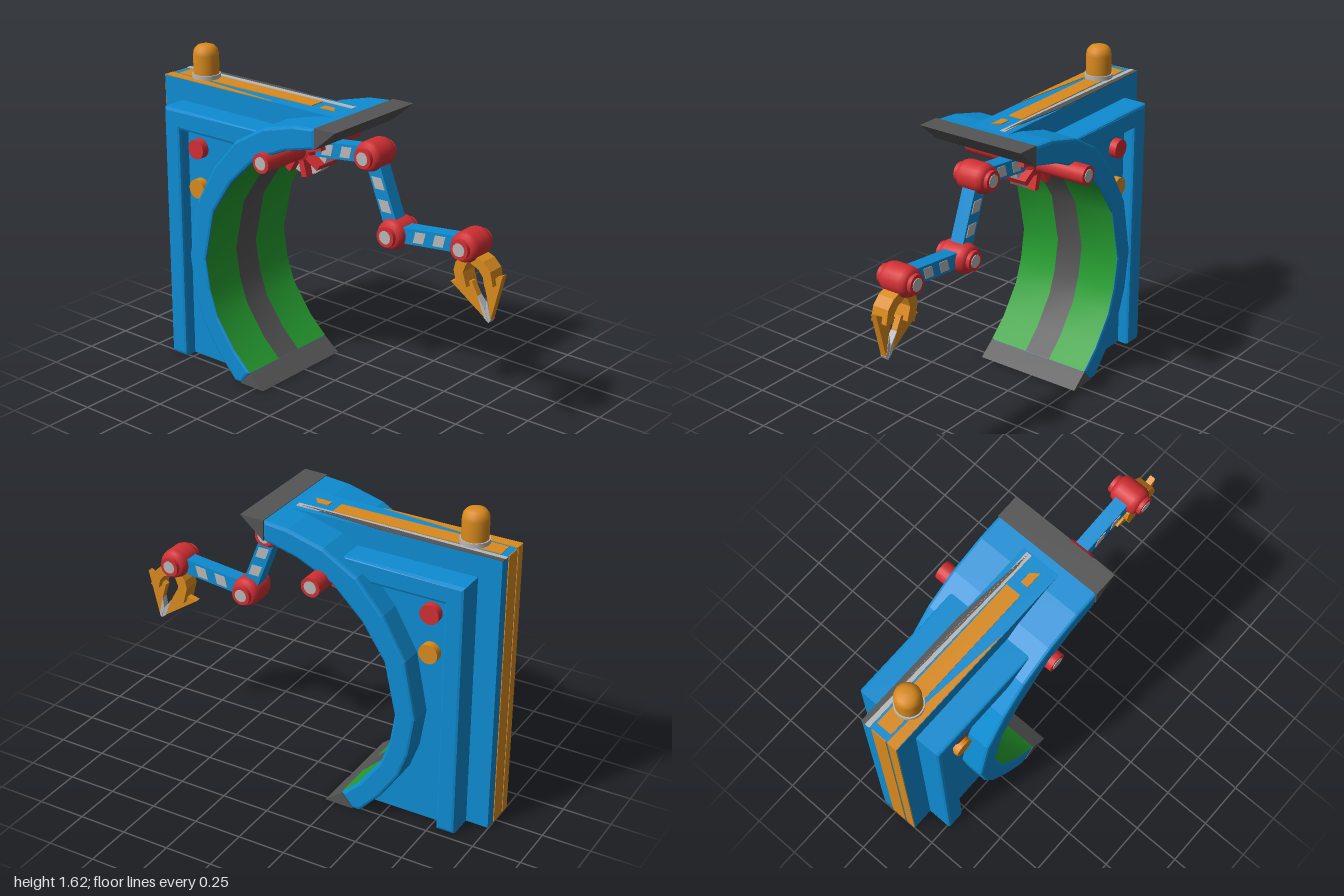
import * as THREE from 'three';

const mat = (name, color) => Object.assign(new THREE.MeshStandardMaterial({ color }), { name });

export function createModel() {
  const model = new THREE.Group();
  model.name = 'armStation';
  const blue = mat('blue', 0x0e8cd2), red = mat('red', 0xd22f33), orange = mat('orange', 0xd98a1e);
  const green = mat('green', 0x269f31), dark = mat('darkGrey', 0x555555), light = mat('lightGrey', 0xb8b8b8);
  const ZC = 0.027; // middle of the housing in depth

  const add = (name, geo, material, parent = model) => {
    const m = new THREE.Mesh(geo, material);
    m.name = name;
    parent.add(m);
    return m;
  };
  // side outline extruded from z0 to z1
  const prism = (pts, z0, z1, bevel = 0) => {
    const shape = new THREE.Shape(pts.map(p => new THREE.Vector2(p[0], p[1])));
    return new THREE.ExtrudeGeometry(shape, {
      depth: z1 - z0 - 2 * bevel, bevelEnabled: bevel > 0, bevelThickness: bevel,
      bevelSize: bevel, bevelOffset: -bevel, bevelSegments: 2,
    }).translate(0, 0, z0 + bevel);
  };
  const body = (name, pts, half, bevel, material = blue) =>
    add(name, prism(pts, ZC - half, ZC + half, bevel), material);
  const cylZ = (r, length, seg = 20) => new THREE.CylinderGeometry(r, r, length, seg).rotateX(Math.PI / 2);

  // Crescent arch, both edges listed from top to bottom
  const outer = [[0.14, 1.447], [0.01, 1.435], [-0.18, 1.385], [-0.36, 1.28], [-0.5, 1.12], [-0.62, 0.91],
    [-0.68, 0.61], [-0.65, 0.41], [-0.6, 0.27], [-0.5, 0.12], [-0.39, 0]];
  const inner = [[0.14, 1.345], [-0.04, 1.3], [-0.23, 1.215], [-0.39, 1.06], [-0.51, 0.88], [-0.57, 0.61],
    [-0.545, 0.45], [-0.5, 0.32], [-0.39, 0.165], [-0.29, 0.07]];
  body('arch', [...outer, [-0.35, 0], ...[...inner].reverse()], 0.297, 0.014);
  body('upperArchTip', [[0.14, 1.45], [0.14, 1.345], [0.265, 1.452]], 0.297, 0, dark);
  body('lowerArchTip', [[-0.35, 0], [-0.2, 0], [-0.29, 0.07]], 0.297, 0, dark);

  // Lining on the inside of the arch
  const lining = (name, z0, z1, material) => {
    const geo = new THREE.PlaneGeometry(1, 1, 1, inner.length - 1), pos = geo.attributes.position;
    inner.forEach(([x, y], i) => {
      const d = new THREE.Vector2(0.2 - x, 0.65 - y).setLength(0.004);
      pos.setXYZ(2 * i, x + d.x, y + d.y, z1);
      pos.setXYZ(2 * i + 1, x + d.x, y + d.y, z0);
    });
    geo.computeVertexNormals();
    add(name, geo, material);
  };
  lining('rearLining', ZC - 0.295, ZC - 0.075, green);
  lining('middleLining', ZC - 0.075, ZC + 0.075, dark);
  lining('frontLining', ZC + 0.075, ZC + 0.295, green);

  // Stepped housing behind the arch
  body('backSlab', [[-0.996, 0], ...[...outer].reverse().slice(0, -1), [0.1, 1.447], [-0.996, 1.45]], 0.105, 0);
  body('sidePanel', [[-0.8, 0], ...[...outer].reverse().slice(0, 8), [-0.42, 1.25], [-0.8, 1.25]], 0.175, 0);
  body('sideFrame', [[-0.88, 0], [-0.78, 0], [-0.78, 1.235], [-0.4, 1.235], [-0.34, 1.27], [-0.22, 1.34],
    [-0.88, 1.34]], 0.24, 0.015);

  // Stripes along the top and back edge of the slab
  const topStripe = (name, pts, material) => {
    const geo = prism(pts.map(([x, z]) => [x, -z]), 0, 0.004).rotateX(-Math.PI / 2).translate(0, 1.449, 0);
    add(name, geo, material);
  };
  topStripe('darkTopStripe', [[-1, -0.078], [-1, -0.055], [0.0, -0.035], [0.09, -0.04], [-0.35, -0.078]], dark);
  topStripe('lightTopStripe', [[-1, -0.056], [-1, -0.03], [0.09, -0.022], [0.09, -0.052], [-0.1, -0.05], [-0.6, -0.056]], light);
  topStripe('middleTopStripe', [[-0.96, -0.018], [-0.96, 0.066], [-0.09, 0.066], [-0.09, -0.018]], orange);
  topStripe('shortTopStripe', [[-0.04, 0.025], [-0.04, 0.065], [0.05, 0.065], [0.02, 0.025]], orange);
  topStripe('frontTopStripe', [[-1, 0.075], [-1, 0.13], [-0.28, 0.13], [-0.75, 0.085]], orange);
  for (const [z, w] of [[0.025, 0.085], [0.105, 0.05]])
    add('backStripe', new THREE.BoxGeometry(0.004, 1.45, w).translate(-0.998, 0.725, z), orange);

  // Round buttons on both sides
  for (const [y, m] of [[1.145, red], [0.937, orange]])
    for (const s of [-1, 1])
      add('button', cylZ(0.05, 0.05).translate(-0.695, y, ZC + s * 0.19), m);

  // Beacon
  add('beaconBase', new THREE.CylinderGeometry(0.072, 0.072, 0.025, 24).translate(-0.805, 1.462, 0.033), light);
  const dome = [[0.065, 0], [0.065, 0.1], [0.06, 0.125], [0.045, 0.143], [0.025, 0.15], [0, 0.151]];
  add('beacon', new THREE.LatheGeometry(dome.map(p => new THREE.Vector2(...p)), 24).translate(-0.805, 1.472, 0.033), orange);

  // Arm joints
  const joints = [[-0.165, 1.22], [0.245, 1.265], [0.385, 0.905], [0.81, 0.95]];
  const barrel = [[0.03, -0.082], [0.052, -0.08], [0.068, -0.068], [0.075, -0.045], [0.075, 0.045],
    [0.068, 0.068], [0.052, 0.08], [0.03, 0.082]].map(p => new THREE.Vector2(...p));
  joints.forEach(([x, y], i) => {
    const joint = new THREE.Group();
    joint.name = 'joint';
    joint.position.set(x, y, 0);
    model.add(joint);
    const length = i ? 0.2 : 0.71; // the first joint sits on a long axle
    add('jointBarrel', new THREE.LatheGeometry(barrel, 24).rotateX(Math.PI / 2), red, joint);
    add('jointAxle', cylZ(0.05, length), red, joint);
    add('jointCap', cylZ(0.033, length + 0.006, 12), light, joint);
  });

  // Spoked wheel on the axle
  const wheel = new THREE.Group();
  wheel.name = 'wheel';
  wheel.position.set(...joints[0], 0);
  model.add(wheel);
  add('wheelDisc', cylZ(0.14, 0.06, 24), light, wheel);
  for (let i = 0; i < 8; i++)
    add('wheelSpoke', new THREE.BoxGeometry(0.09, 0.032, 0.15).translate(0.096, 0, 0).rotateZ((i + 0.3) * Math.PI / 4), red, wheel);

  // Arm links with slanted stripes
  for (let i = 0; i < 3; i++) {
    const [a, b] = [joints[i], joints[i + 1]];
    const length = Math.hypot(b[0] - a[0], b[1] - a[1]);
    const link = new THREE.Group();
    link.name = 'armLink';
    link.position.set((a[0] + b[0]) / 2, (a[1] + b[1]) / 2, 0);
    link.rotation.z = Math.atan2(b[1] - a[1], b[0] - a[0]);
    model.add(link);
    add('linkBeam', new THREE.BoxGeometry(length, 0.08, 0.074), blue, link);
    for (const c of [-0.057, 0.057])
      add('linkStripe', prism([[c - 0.04, -0.027], [c + 0.02, -0.027], [c + 0.04, 0.027], [c - 0.02, 0.027]], -0.04, 0.04), light, link);
  }

  // Claw: two curved fingers with barbed heads and pale blades
  add('leftFinger', prism([[0.79, 0.91], [0.755, 0.86], [0.745, 0.82], [0.77, 0.73], [0.82, 0.75], [0.798, 0.82],
    [0.815, 0.865], [0.84, 0.89]], -0.045, 0.045), orange);
  add('rightFinger', prism([[0.86, 0.92], [0.91, 0.9], [0.95, 0.86], [0.967, 0.79], [0.92, 0.78], [0.91, 0.825],
    [0.885, 0.855], [0.84, 0.875]], -0.045, 0.045), orange);
  add('leftHead', prism([[0.71, 0.745], [0.83, 0.775], [0.87, 0.7], [0.915, 0.605]], -0.016, 0.016), orange);
  add('rightHead', prism([[1, 0.845], [0.895, 0.79], [0.925, 0.69], [0.94, 0.605]], -0.016, 0.016), orange);
  add('leftBlade', prism([[0.865, 0.71], [0.905, 0.61], [0.93, 0.592], [0.905, 0.66]], -0.018, 0.018), light);
  add('rightBlade', prism([[0.918, 0.71], [0.91, 0.65], [0.932, 0.592], [0.942, 0.61]], -0.018, 0.018), light);

  return model;
}
